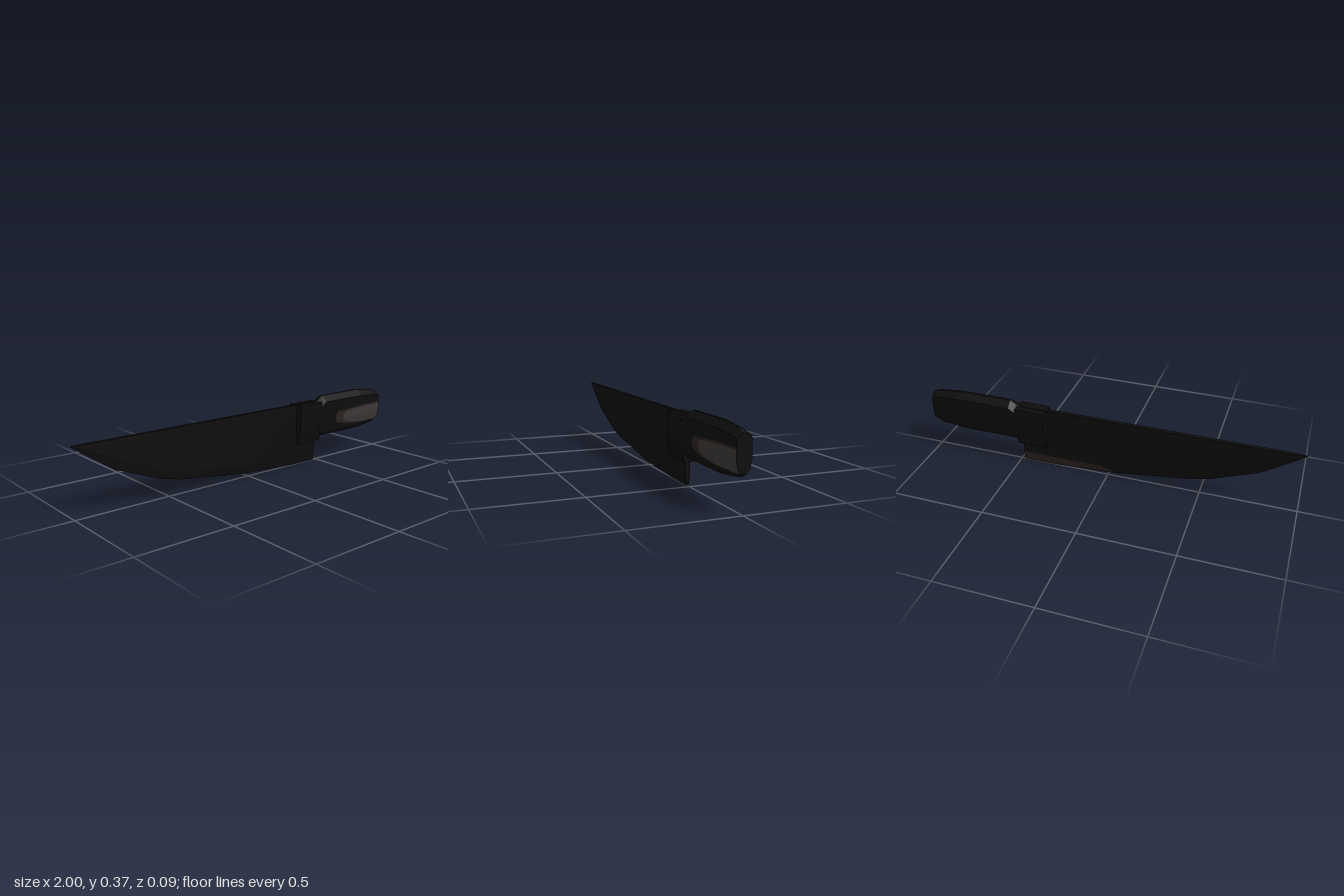
import * as THREE from 'three';

const material = (name, color, side = THREE.FrontSide) => {
  const m = new THREE.MeshStandardMaterial({ color, side });
  m.name = name;
  return m;
};

// Faceted skin through rows of [x, y, z] points; rows run along +x.
function skin(name, rows, mat, closed) {
  const pos = [];
  const tri = (a, b, c) => pos.push(...a, ...b, ...c);
  const n = rows[0].length;
  for (let i = 0; i < rows.length - 1; i++) {
    for (let j = 0; j < (closed ? n : n - 1); j++) {
      const k = (j + 1) % n;
      const [a, b, c, d] = [rows[i][j], rows[i + 1][j], rows[i + 1][k], rows[i][k]];
      tri(a, b, c);
      tri(a, c, d);
    }
  }
  if (closed) {
    const first = rows[0], last = rows[rows.length - 1];
    for (let j = 1; j < n - 1; j++) {
      tri(first[0], first[j], first[j + 1]);
      tri(last[0], last[j + 1], last[j]);
    }
  }
  const g = new THREE.BufferGeometry();
  g.setAttribute('position', new THREE.Float32BufferAttribute(pos, 3));
  g.computeVertexNormals();
  const mesh = new THREE.Mesh(g, mat);
  mesh.name = name;
  return mesh;
}

// Closed ring at x from a half profile of [y, z], listed bottom to top.
const ring = (x, half) => [
  ...half.map(([y, z]) => [x, y, z]),
  ...[...half].reverse().map(([y, z]) => [x, y, -z]),
];

const lerp = THREE.MathUtils.lerp;
const clamp = THREE.MathUtils.clamp;

// Handle stations: x, bottom, top, thickness scale
const stations = [
  [0.49, 0.137, 0.338, 1], [0.51, 0.137, 0.345, 1], [0.54, 0.137, 0.365, 1],
  [0.83, 0.137, 0.365, 1], [0.97, 0.153, 0.35, 0.9], [1, 0.168, 0.335, 0.78],
];
// Handle half profile: height fraction, half thickness
const profile = [[0, 0.012], [0.123, 0.036], [0.364, 0.045], [0.868, 0.045], [1, 0.007]];

function handleHalf(x) {
  let i = 0;
  while (i < stations.length - 2 && x > stations[i + 1][0]) i++;
  const a = stations[i], b = stations[i + 1];
  const t = (x - a[0]) / (b[0] - a[0]);
  const [lo, hi, s] = [1, 2, 3].map((k) => lerp(a[k], b[k], t));
  return profile.map(([f, z]) => [lerp(lo, hi, f), z * s]);
}

// Thin inlay hugging the front of the handle; outline rows are x, low y, high y.
function inlay(name, outline, lift, mat) {
  const rows = outline.map(([x, lo, hi]) => {
    const half = handleHalf(x);
    const ys = [lo, clamp(half[1][0], lo, hi), clamp(half[2][0], lo, hi), hi];
    return ys.map((y) => {
      let i = 0;
      while (i < half.length - 2 && y > half[i + 1][0]) i++;
      const [a, b] = [half[i], half[i + 1]];
      return [x, y, lerp(a[1], b[1], (y - a[0]) / (b[0] - a[0])) + lift];
    });
  });
  return skin(name, rows, mat, false);
}

export function createModel() {
  const black = material('black', 0x0d0d0d);
  const brown = material('darkBrown', 0x2b2120, THREE.DoubleSide);
  const grey = material('warmGrey', 0x3c3836, THREE.DoubleSide);
  const knife = new THREE.Group();
  knife.name = 'kitchenKnife';

  // Blade: straight spine, curved belly, ground bevel. x, edge y, bevel top y, half thickness
  const belly = [
    [-1, 0.338, 0.339, 0.002], [-0.94, 0.297, 0.318, 0.01], [-0.79, 0.195, 0.25, 0.011],
    [-0.55, 0.1, 0.15, 0.011], [-0.44, 0.075, 0.12, 0.011], [-0.03, 0.02, 0.06, 0.011],
    [0.3, 0.002, 0.055, 0.011], [0.48, 0, 0.055, 0.011],
  ];
  knife.add(skin('blade', belly.map(([x, edge, bevel, z]) =>
    ring(x, [[edge, z * 0.35], [bevel, z], [0.34, z]])), black, true));

  // Tinted bevel strip on the back of the edge: x, low y, high y
  const strip = [
    [-0.03, 0.021, 0.03], [-0.01, 0.02, 0.045], [0.04, 0.017, 0.054],
    [0.3, 0.003, 0.055], [0.48, 0.001, 0.055],
  ];
  const bevelZ = (x, y) => {
    const t = clamp((x + 0.03) / 0.33, 0, 1);
    const lo = lerp(0.02, 0, t), hi = lerp(0.06, 0.055, t);
    return -lerp(0.0039, 0.011, clamp((y - lo) / (hi - lo), 0, 1)) - 0.001;
  };
  knife.add(skin('bevelStrip', strip.map(([x, lo, hi]) =>
    [[x, hi, bevelZ(x, hi)], [x, lo, bevelZ(x, lo)]]), brown, false));

  // Bolster between blade and handle
  const bolster = [[0.117, 0.027], [0.22, 0.0455], [0.337, 0.0455]];
  knife.add(skin('bolster', [0.34, 0.502].map((x) => ring(x, bolster)), black, true));

  // Handle with chamfered sides and a tapered butt
  knife.add(skin('handle', stations.map(([x]) => ring(x, handleHalf(x))), black, true));

  // Layered inlay on the handle front
  knife.add(inlay('inlayBorder', [
    [0.62, 0.218, 0.248], [0.635, 0.202, 0.266], [0.7, 0.185, 0.27],
    [0.83, 0.174, 0.278], [0.97, 0.172, 0.28], [0.999, 0.172, 0.28],
  ], 0.001, brown));
  knife.add(inlay('inlayCentre', [
    [0.68, 0.215, 0.245], [0.7, 0.2, 0.258], [0.75, 0.19, 0.265],
    [0.83, 0.178, 0.268], [0.97, 0.171, 0.27], [0.999, 0.171, 0.27],
  ], 0.002, grey));

  return knife;
}
